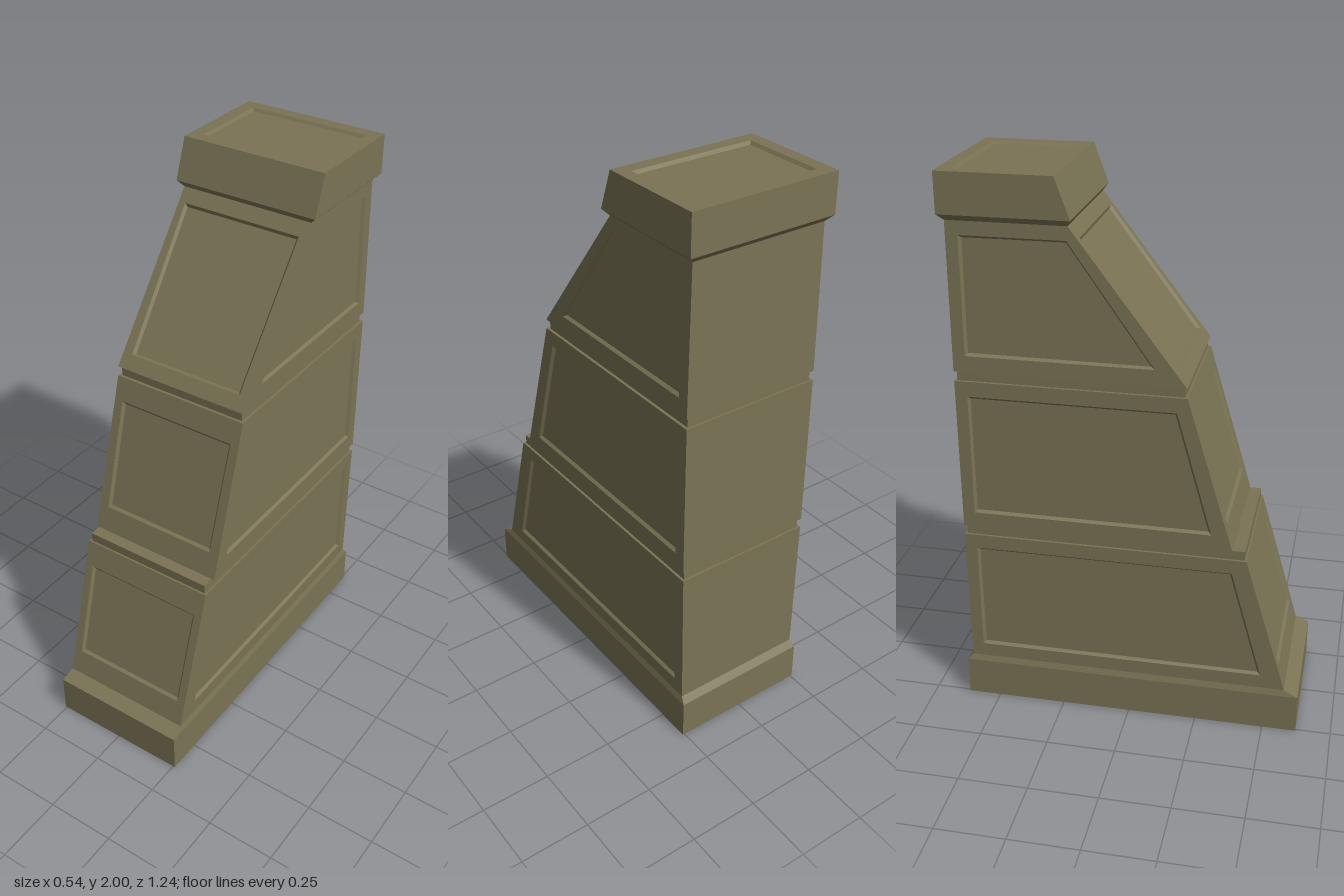
import * as THREE from 'three';

const stone = new THREE.MeshStandardMaterial({ color: 0x7a7354 });
stone.name = 'olive stone';

const lerp = THREE.MathUtils.lerp;
const V = (x, y, z) => new THREE.Vector3(x, y, z);

// Corners run counter-clockwise seen from outside
function quad(out, a, b, c, d) {
  for (const p of [a, b, c, a, c, d]) out.push(p.x, p.y, p.z);
}

// Strip of four quads between two rings of four corners
function frame(out, outer, inner) {
  for (let i = 0; i < 4; i++) {
    const j = (i + 1) % 4;
    quad(out, outer[i], outer[j], inner[j], inner[i]);
  }
}

// Face with a bevelled, sunken panel
function panelFace(out, outer, rim, depth = 0.01, bevel = 0.009) {
  const normal = rim[1].clone().sub(rim[0]).cross(rim[3].clone().sub(rim[0])).normalize();
  const floor = rim.map((p, i) => {
    const next = rim[(i + 1) % 4].clone().sub(p).normalize();
    const prev = rim[(i + 3) % 4].clone().sub(p).normalize();
    return p.clone().addScaledVector(next, bevel).addScaledVector(prev, bevel).addScaledVector(normal, -depth);
  });
  frame(out, outer, rim);
  frame(out, rim, floor);
  quad(out, ...floor);
}

// Ring of four corners at one height: half width, front z, back z
const ring = ({ y, w, f, b }) => [V(-w, y, f), V(w, y, f), V(w, y, b), V(-w, y, b)];

function toMesh(name, out) {
  const geometry = new THREE.BufferGeometry();
  geometry.setAttribute('position', new THREE.Float32BufferAttribute(out, 3));
  geometry.computeVertexNormals();
  const mesh = new THREE.Mesh(geometry, stone);
  mesh.name = name;
  return mesh;
}

// Plain moulding lofted through rings, with an optional sunken panel on top
function moulding(name, levels, topPanel) {
  const out = [];
  const rings = levels.map(ring);
  for (let i = 0; i + 1 < rings.length; i++) frame(out, rings[i], rings[i + 1]);
  quad(out, ...rings[0].slice().reverse());
  const top = rings[rings.length - 1];
  if (topPanel) {
    const { y } = levels[levels.length - 1];
    panelFace(out, top, ring({ y, ...topPanel }));
  } else quad(out, ...top);
  return toMesh(name, out);
}

// Tapered tier with sunken panels on the front and both sides
function tier(name, lo, hi, front, side) {
  const out = [];
  const L = ring(lo), H = ring(hi);
  const at = (key, y) => lerp(lo[key], hi[key], (y - lo.y) / (hi.y - lo.y));

  // Front panel follows the slope
  const onFront = (x, y) => V(x, y, at('f', y));
  const [fy0, fy1] = front;
  panelFace(out, [L[0], L[1], H[1], H[0]],
    [onFront(-0.22, fy0), onFront(0.22, fy0), onFront(0.225, fy1), onFront(-0.225, fy1)]);

  // Side panels, mirrored
  const { y0, y1, z0, z1 } = side;
  const yz = [[y0, z0], [y0, -0.557], [y1, -0.557], [y1, z1]];
  const outer = [L[1], L[2], H[2], H[1]];
  const rim = yz.map(([y, z]) => V(at('w', y), y, z));
  panelFace(out, outer, rim);
  const mirror = (points) => points.map((p) => V(-p.x, p.y, p.z)).reverse();
  panelFace(out, mirror(outer), mirror(rim));

  // Plain back, top and bottom
  quad(out, L[2], L[3], H[3], H[2]);
  quad(out, ...H);
  quad(out, ...L.slice().reverse());
  return toMesh(name, out);
}

export function createModel() {
  const model = new THREE.Group();
  model.name = 'buttress';
  const b = -0.6;

  // Plinth with a chamfered top edge
  model.add(moulding('plinth', [
    { y: 0, w: 0.257, f: 0.623, b: -0.62 },
    { y: 0.145, w: 0.257, f: 0.623, b: -0.62 },
    { y: 0.168, w: 0.25, f: 0.573, b },
  ]));

  // Three panelled tiers
  model.add(tier('lowerTier',
    { y: 0.168, w: 0.25, f: 0.573, b }, { y: 0.688, w: 0.256, f: 0.42, b },
    [0.255, 0.6], { y0: 0.22, y1: 0.635, z0: 0.485, z1: 0.37 }));
  model.add(tier('middleTier',
    { y: 0.722, w: 0.257, f: 0.37, b }, { y: 1.282, w: 0.257, f: 0.205, b },
    [0.81, 1.2], { y0: 0.78, y1: 1.227, z0: 0.295, z1: 0.17 }));
  model.add(tier('upperTier',
    { y: 1.317, w: 0.257, f: 0.203, b }, { y: 1.838, w: 0.25, f: -0.19, b },
    [1.36, 1.795], { y0: 1.375, y1: 1.79, z0: 0.095, z1: -0.195 }));

  // Recessed bands between the tiers
  const bands = [['lowerBand', 0.688, 0.722, 0.413], ['upperBand', 1.282, 1.317, 0.195]];
  for (const [name, y0, y1, f] of bands) {
    model.add(moulding(name, [{ y: y0, w: 0.247, f, b: -0.592 }, { y: y1, w: 0.247, f, b: -0.592 }]));
  }

  // Overhanging cap with a panel on top
  model.add(moulding('cap', [
    { y: 1.838, w: 0.25, f: -0.19, b },
    { y: 1.86, w: 0.272, f: -0.175, b: -0.62 },
    { y: 2, w: 0.272, f: -0.225, b: -0.62 },
  ], { w: 0.226, f: -0.272, b: -0.576 }));

  return model;
}
